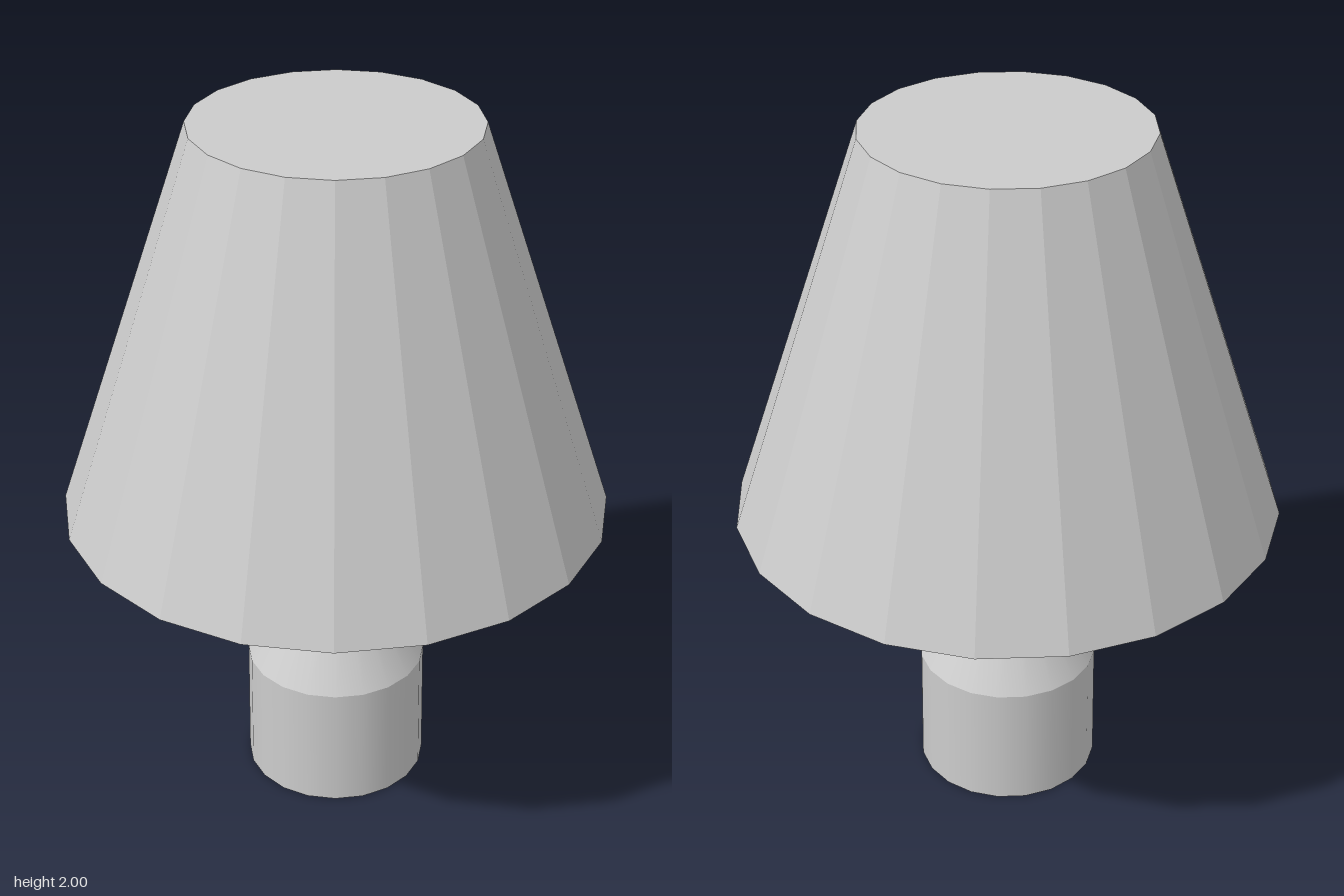
import * as THREE from 'three';

const SIDES = 20;

export function createModel() {
  const lamp = new THREE.Group();
  lamp.name = 'tableLamp';

  const shadeMaterial = new THREE.MeshStandardMaterial({ color: 0xcccccc, flatShading: true });
  const baseMaterial = new THREE.MeshStandardMaterial({ color: 0xcccccc, side: THREE.DoubleSide });

  // Ring-shaped section between two heights
  function addSection(parent, name, rBottom, rTop, y0, y1, open, material) {
    const geometry = new THREE.CylinderGeometry(rTop, rBottom, y1 - y0, SIDES, 1, open);
    const mesh = new THREE.Mesh(geometry, material);
    mesh.name = name;
    mesh.position.y = (y0 + y1) / 2;
    parent.add(mesh);
  }

  // Hollow base, smooth around and creased between sections
  const base = new THREE.Group();
  base.name = 'base';
  addSection(base, 'foot', 0.26, 0.257, 0, 0.365, true, baseMaterial);
  addSection(base, 'shoulder', 0.257, 0.118, 0.365, 0.595, true, baseMaterial);
  addSection(base, 'neck', 0.118, 0.112, 0.595, 0.88, true, baseMaterial);
  lamp.add(base);

  // Faceted shade, closed above and below
  addSection(lamp, 'shade', 0.765, 0.39, 0.88, 2, false, shadeMaterial);

  return lamp;
}
